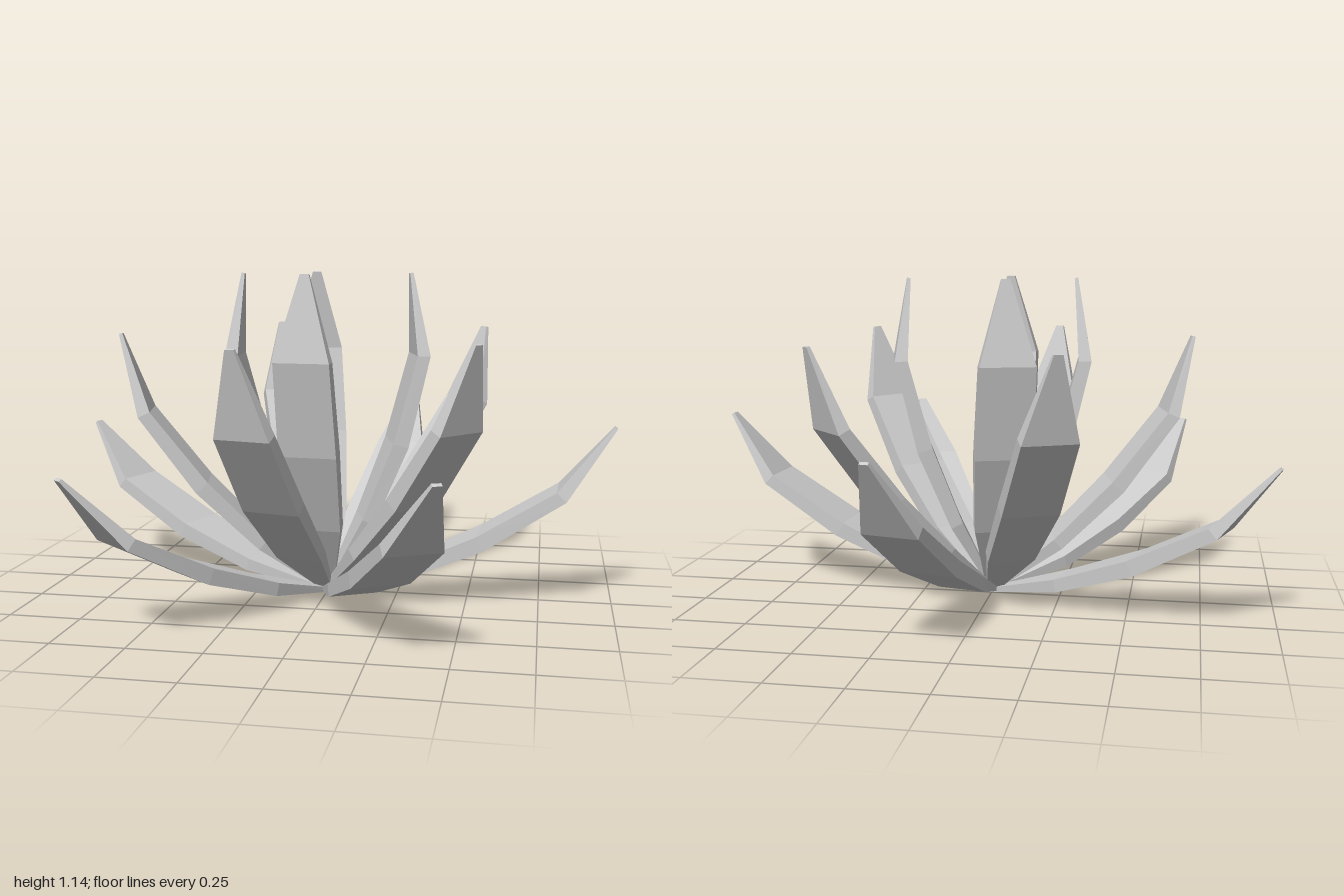
import * as THREE from 'three';

// Segments along a leaf: length and angle in degrees from its lean direction
const SEGMENTS = [[0.3, -17], [0.3, -9], [0.33, 1], [0.29, 24]];
const WIDTHS = [0.04, 0.17, 0.2, 0.19, 0.03];
const THICKNESS = [0.015, 0.045, 0.055, 0.045, 0.012];

// Faceted leaf growing along +x and curling up towards +y
function leafGeometry() {
  const rad = THREE.MathUtils.degToRad;
  const positions = [], index = [];
  let x = 0, y = 0;
  WIDTHS.forEach((width, i) => {
    const before = SEGMENTS[Math.max(i - 1, 0)], after = SEGMENTS[Math.min(i, 3)];
    if (i > 0) {
      x += before[0] * Math.cos(rad(before[1]));
      y += before[0] * Math.sin(rad(before[1]));
    }
    const a = rad((before[1] + after[1]) / 2), w = width / 2, t = THICKNESS[i];
    const tx = x - Math.sin(a) * t, ty = y + Math.cos(a) * t;
    positions.push(x, y, w, x, y, -w, tx, ty, -w, tx, ty, w);
    if (i === 0) return;
    const p = (i - 1) * 4, q = i * 4;
    for (let j = 0; j < 4; j++) {
      const k = (j + 1) % 4;
      index.push(p + j, p + k, q + k, p + j, q + k, q + j);
    }
  });
  const e = (WIDTHS.length - 1) * 4;
  index.push(e, e + 1, e + 2, e, e + 2, e + 3, 0, 2, 1, 0, 3, 2);
  const indexed = new THREE.BufferGeometry();
  indexed.setAttribute('position', new THREE.Float32BufferAttribute(positions, 3));
  indexed.setIndex(index);
  const geometry = indexed.toNonIndexed();
  geometry.computeVertexNormals();
  return geometry;
}

// Leaf tips of each ring, measured from the root: x, y, z
const RINGS = {
  outerLeaf: [[1, 0.64, 0.04], [0.48, 0.6, 0.92], [-0.68, 0.555, 0.82], [-1, 0.56, -0.33], [0.2, 0.655, -0.97]],
  middleLeaf: [[0.55, 0.94, 0.46], [-0.16, 0.94, 0.71], [-0.7, 0.94, 0.16], [-0.31, 0.94, -0.65], [0.52, 0.94, -0.5]],
  innerLeaf: [[0.28, 1.15, -0.08], [-0.02, 1.15, 0.29], [-0.29, 1.15, 0.03], [-0.09, 1.15, -0.27]],
};

export function createModel() {
  const model = new THREE.Group();
  model.name = 'succulentPlant';
  const material = new THREE.MeshStandardMaterial({ color: 0xcccccc, flatShading: true });
  const geometry = leafGeometry();
  for (const [name, tips] of Object.entries(RINGS)) {
    tips.forEach(([x, y, z], i) => {
      const leaf = new THREE.Mesh(geometry, material);
      leaf.name = name + (i + 1);
      leaf.position.z = 0.02;
      // Lean upwards first, then turn around the plant
      leaf.rotation.set(0, -Math.atan2(z, x), Math.atan2(y, Math.hypot(x, z)), 'YXZ');
      model.add(leaf);
    });
  }
  return model;
}
